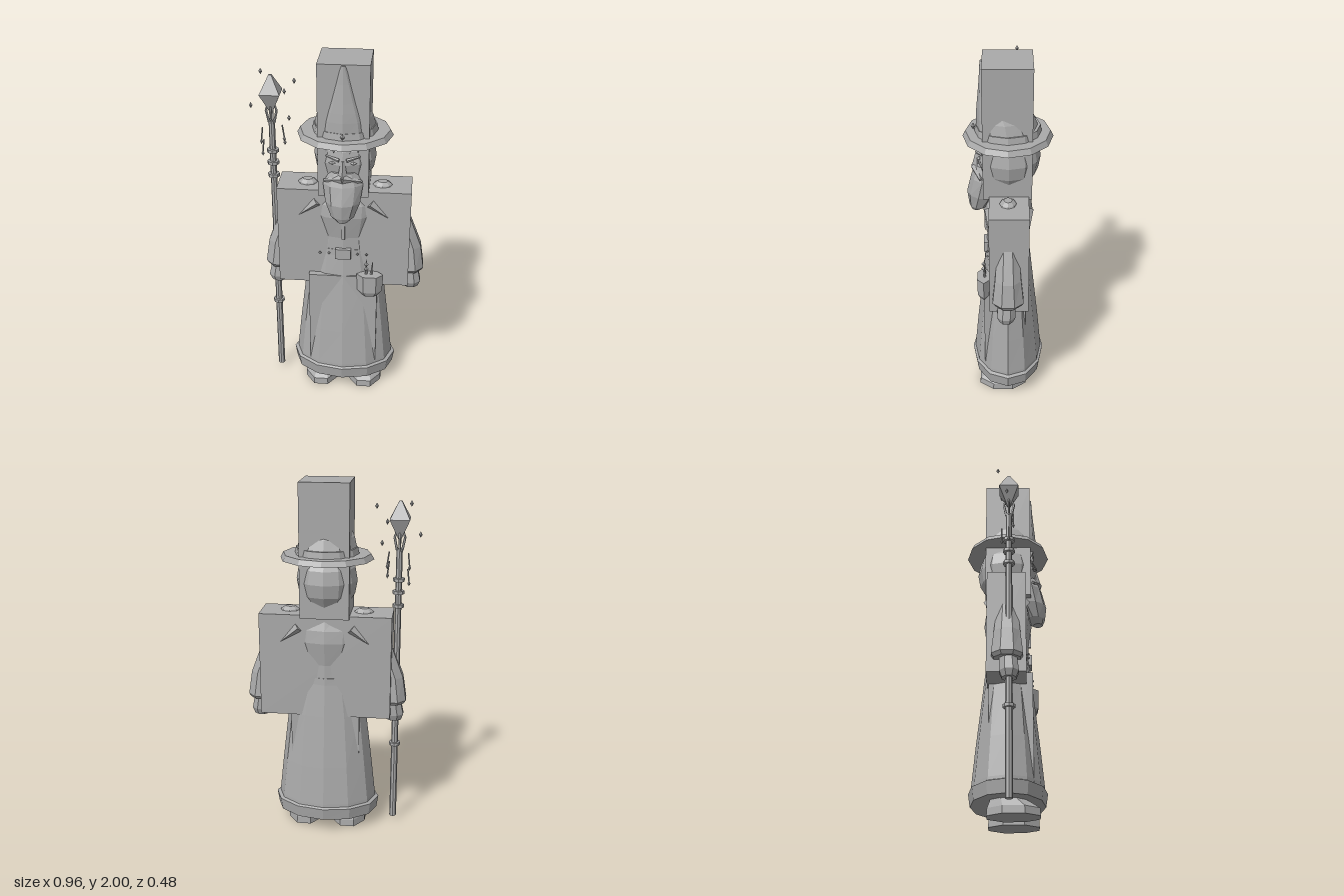
import * as THREE from 'three';

const CX = 0.025; // the figure's own centre line
const stone = new THREE.MeshStandardMaterial({ color: 0xaaaaaa });
stone.name = 'stone grey';

export function createModel() {
  const model = new THREE.Group();
  model.name = 'robedFigure';

  // Adds a faceted mesh
  const add = (name, geo, x = 0, y = 0, z = 0) => {
    const g = geo.index ? geo.toNonIndexed() : geo;
    g.computeVertexNormals();
    const m = new THREE.Mesh(g, stone);
    m.name = name;
    m.position.set(x, y, z);
    model.add(m);
    return m;
  };
  const box = (name, x0, x1, y0, y1, z0, z1) =>
    add(name, new THREE.BoxGeometry(x1 - x0, y1 - y0, z1 - z0), (x0 + x1) / 2, (y0 + y1) / 2, (z0 + z1) / 2);

  // Capped loft through elliptical rings [y, rx, rz, cx, cz], bottom to top
  const loft = (name, rings, n, turn = 0) => {
    const pos = [], idx = [], k = rings.length;
    for (const [y, rx, rz, cx = CX, cz = 0] of rings)
      for (let j = 0; j < n; j++) {
        const a = ((j + turn) / n) * Math.PI * 2;
        pos.push(cx + Math.sin(a) * rx, y, cz + Math.cos(a) * rz);
      }
    for (const [y, , , cx = CX, cz = 0] of [rings[0], rings[k - 1]]) pos.push(cx, y, cz);
    for (let j = 0; j < n; j++) {
      const q = (j + 1) % n, t = (k - 1) * n;
      for (let i = 0; i < k - 1; i++) {
        const a = i * n + j, b = i * n + q;
        idx.push(a, b, b + n, a, b + n, a + n);
      }
      idx.push(k * n, q, j, k * n + 1, t + j, t + q);
    }
    const g = new THREE.BufferGeometry();
    g.setAttribute('position', new THREE.Float32BufferAttribute(pos, 3));
    g.setIndex(idx);
    return add(name, g);
  };

  // Tapered rod between two points
  const rod = (name, a, b, ra, rb, n = 5) => {
    const A = new THREE.Vector3(...a), d = new THREE.Vector3(...b).sub(A);
    const m = add(name, new THREE.CylinderGeometry(rb, ra, d.length(), n));
    m.position.copy(A).addScaledVector(d, 0.5);
    m.quaternion.setFromUnitVectors(new THREE.Vector3(0, 1, 0), d.normalize());
    return m;
  };
  const gem = (name, x, y, z, r, h) => {
    const m = add(name, new THREE.OctahedronGeometry(1), x, y, z);
    m.scale.set(r, h, r);
    return m;
  };

  // Block cores
  box('headBlock', -0.11, 0.16, 1.27, 2, -0.127, 0.132);
  box('torsoBlock', -0.34, 0.39, 0.7, 1.285, -0.11, 0.1);
  box('legBlock', -0.168, 0.218, 0.1, 0.765, -0.1, 0.135);

  // Robe and hem
  loft('robe', [[0.1, 0.285, 0.2], [0.18, 0.282, 0.196], [0.4, 0.258, 0.175], [0.7, 0.222, 0.142],
    [0.92, 0.175, 0.118], [1.0, 0.165, 0.116], [1.13, 0.2, 0.135], [1.2, 0.2, 0.127], [1.28, 0.13, 0.1]], 12);
  loft('hem', [[0.085, 0.292, 0.2], [0.155, 0.303, 0.21], [0.162, 0.285, 0.198]], 12);

  // Belt, buckle, studs and front placket
  loft('belt', [[0.885, 0.178, 0.122], [0.925, 0.174, 0.12]], 12);
  box('buckle', -0.018, 0.068, 0.875, 0.937, 0.1, 0.135);
  for (const dx of [-0.13, -0.08, 0.08, 0.13]) gem('beltStud', CX + dx, 0.902, 0.115, 0.009, 0.009);
  box('placket', CX - 0.009, CX + 0.009, 1.0, 1.15, 0.1, 0.13);

  // Belt pouch with sprigs
  loft('pouch', [[0.65, 0.045, 0.025, 0.177, 0.135], [0.68, 0.07, 0.04, 0.177, 0.135],
    [0.785, 0.075, 0.042, 0.177, 0.135]], 6, 0.5);
  rod('sprig', [0.155, 0.78, 0.13], [0.158, 0.88, 0.13], 0.008, 0.002);
  rod('sprig', [0.185, 0.78, 0.13], [0.19, 0.86, 0.13], 0.008, 0.002);
  for (const y of [0.82, 0.85]) gem('sprigLeaf', 0.156, y, 0.135, 0.014, 0.018);

  // Paired parts
  for (const s of [-1, 1]) {
    const X = d => CX + s * d;
    loft('foot', [[0, 0.106, 0.148, X(0.128), 0.03], [0.04, 0.104, 0.145, X(0.128), 0.03],
      [0.075, 0.085, 0.11, X(0.128), 0.01], [0.11, 0.06, 0.07, X(0.128), -0.02]], 8, 0.5);
    loft('sleeve', [[0.765, 0.068, 0.075, X(0.375)], [0.785, 0.08, 0.09, X(0.375)], [0.92, 0.075, 0.075, X(0.36)],
      [1.09, 0.065, 0.06, X(0.305)], [1.27, 0.06, 0.05, X(0.22)]], 8, 0.5);
    loft('hand', [[0.655, 0.045, 0.04, X(0.382), 0.01], [0.69, 0.06, 0.055, X(0.38), 0.01],
      [0.785, 0.05, 0.05, X(0.37), 0.005]], 8, 0.5);
    loft('shoulderCap', [[1.27, 0.062, 0.052, X(0.205)], [1.292, 0.05, 0.042, X(0.205)],
      [1.307, 0.028, 0.022, X(0.205)]], 8);
    for (const z of [-0.1, 0.09])
      rod('capePoint', [X(0.145), 1.215, z], [X(0.28), 1.1, z], 0.036, 0.001, 4);
  }

  // Head, eyes, brows, nose, fringe
  const head = add('head', new THREE.SphereGeometry(1, 12, 8), CX, 1.465, -0.004);
  head.scale.set(0.168, 0.19, 0.17);
  for (const s of [-1, 1]) {
    gem('eye', CX + s * 0.055, 1.475, 0.15, 0.02, 0.01);
    rod('brow', [CX + s * 0.02, 1.495, 0.163], [CX + s * 0.09, 1.51, 0.138], 0.011, 0.005);
    rod('moustache', [CX, 1.395, 0.175], [CX + s * 0.1, 1.37, 0.145], 0.025, 0.008);
  }
  rod('nose', [CX, 1.4, 0.168], [CX, 1.49, 0.16], 0.026, 0.01, 4);
  for (let i = -2; i <= 2; i++)
    rod('fringe', [CX + i * 0.04, 1.585, 0.135], [CX + i * 0.042 - 0.008, 1.53, 0.155 - 0.006 * i * i], 0.02, 0.002, 4);
  loft('beard', [[1.14, 0.028, 0.028, CX, 0.172], [1.17, 0.065, 0.055, CX, 0.157], [1.25, 0.098, 0.092, CX, 0.13],
    [1.35, 0.112, 0.088, CX, 0.11], [1.42, 0.075, 0.06, CX, 0.112]], 10);

  // Hat: brim, band and forward-leaning cone
  loft('hatBrim', [[1.58, 0.256, 0.238], [1.61, 0.24, 0.223]], 12);
  loft('hatBand', [[1.608, 0.176, 0.176], [1.645, 0.168, 0.17]], 12);
  loft('hatCone', [[1.61, 0.17, 0.168], [1.7, 0.148, 0.15, CX, 0.016], [1.75, 0.125, 0.125, CX, 0.037],
    [1.8, 0.1, 0.1, CX, 0.057], [1.9, 0.055, 0.055, CX, 0.093], [1.995, 0.01, 0.01, CX, 0.132]], 12);
  gem('hatGem', CX, 1.635, 0.182, 0.013, 0.018);

  // Staff with collars, prongs and crystal
  const SX = -0.365, SZ = 0.01;
  loft('staff', [[0.03, 0.02, 0.02, SX, SZ], [1.64, 0.017, 0.017, SX, SZ]], 8);
  for (const y of [0.5, 1.325, 1.4, 1.47])
    loft('staffCollar', [[y - 0.009, 0.032, 0.032, SX, SZ], [y + 0.009, 0.032, 0.032, SX, SZ]], 8);
  for (const [dx, dz] of [[1, 0], [-1, 0], [0, 1], [0, -1]]) {
    rod('prong', [SX + dx * 0.014, 1.63, SZ + dz * 0.014], [SX + dx * 0.028, 1.7, SZ + dz * 0.028], 0.007, 0.007);
    rod('prongTip', [SX + dx * 0.028, 1.7, SZ + dz * 0.028], [SX + dx * 0.016, 1.74, SZ + dz * 0.016], 0.007, 0.004);
  }
  loft('crystal', [[1.69, 0.01, 0.01, SX, SZ], [1.8, 0.076, 0.076, SX, SZ], [1.895, 0.01, 0.01, SX, SZ]], 4, 0.5);

  // Hanging charms and floating sparks
  for (const [x, z, y] of [[-0.42, 0.01, 1.45], [-0.42, 0.035, 1.53], [-0.305, -0.03, 1.5], [-0.3, 0.015, 1.54]]) {
    rod('charmCord', [SX + (x - SX) * 0.85, y + 0.08, z], [x, y + 0.01, z], 0.004, 0.004, 4);
    gem('charm', x, y, z, 0.009, 0.016);
  }
  for (const [x, y, z] of [[-0.425, 1.89, -0.05], [-0.24, 1.865, 0.01], [-0.475, 1.72, 0], [-0.3, 1.79, -0.03], [-0.27, 1.665, 0.025]])
    gem('spark', x, y, z, 0.01, 0.017);

  return model;
}
